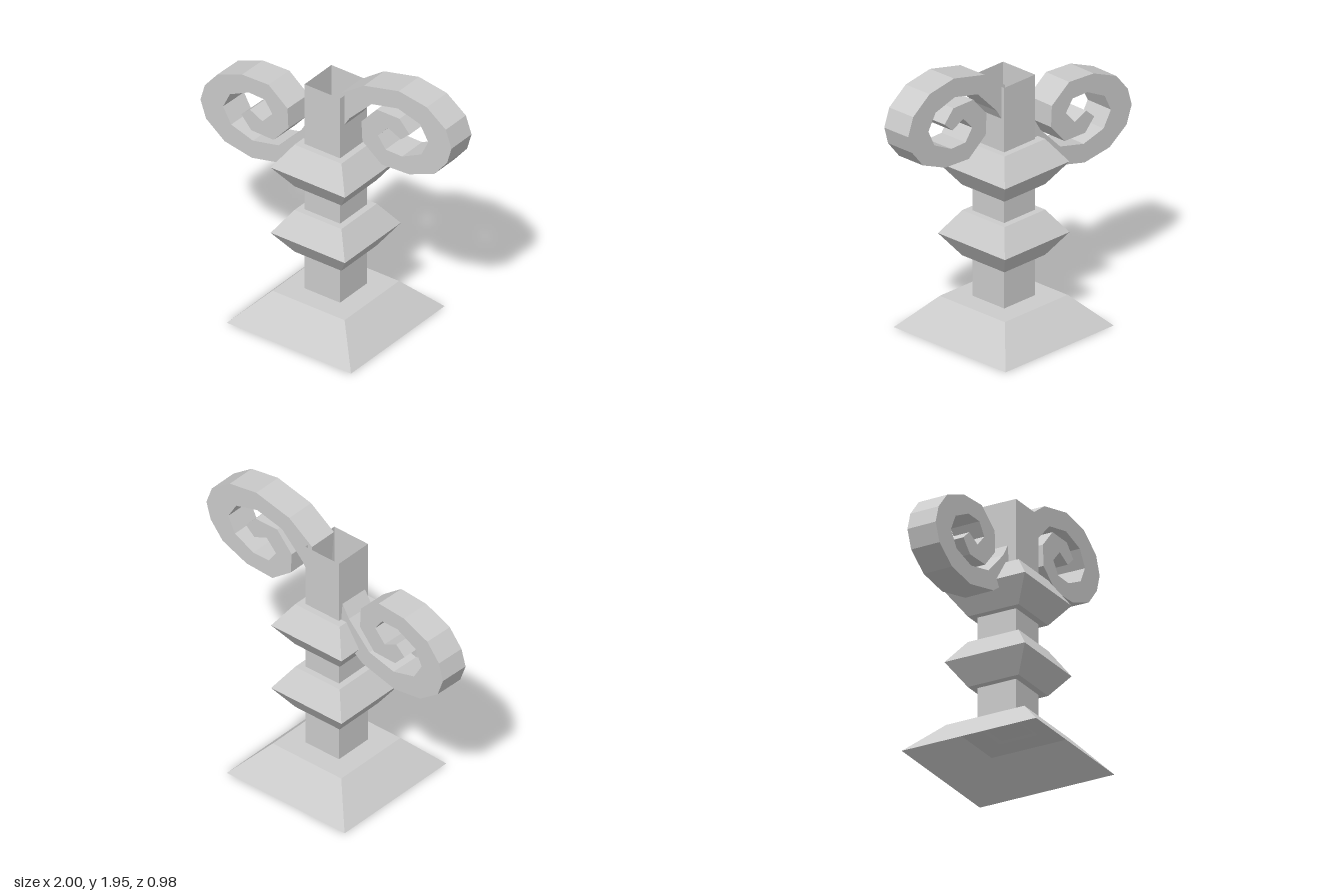
import * as THREE from 'three';

const material = new THREE.MeshStandardMaterial({
  color: 0xcccccc, flatShading: true, side: THREE.DoubleSide,
});

// Square solid from a profile of [half width, height], rising from the bottom
function squareTurned(name, profile) {
  const points = profile.map(([half, y]) => new THREE.Vector2(half * Math.SQRT2, y));
  const mesh = new THREE.Mesh(new THREE.LatheGeometry(points, 4, Math.PI / 4), material);
  mesh.name = name;
  return mesh;
}

// Outline of one scroll: along the outer edge to the curled tip, then back inside
const SCROLL_CENTRE = 1.463;
const scrollOutline = [
  [0.12, 1.745], [0.31, 1.88], [0.585, 1.945], [0.805, 1.91], [0.955, 1.8],
  [1.0, 1.675], [0.965, 1.555], [0.865, 1.435], [0.665, 1.353], [0.45, 1.343],
  [0.297, 1.46], [0.29, 1.605], [0.41, 1.74], [0.59, 1.74], [0.67, 1.653],
  [0.6, 1.59], [0.5, 1.637], [0.42, 1.55], [0.48, 1.467], [0.61, 1.465],
  [0.762, 1.54], [0.817, 1.653], [0.752, 1.763], [0.577, 1.813], [0.37, 1.765],
  [0.195, 1.59], [0.14, 1.5],
];

function scroll(name) {
  const shape = new THREE.Shape(
    scrollOutline.map(([x, y]) => new THREE.Vector2(x, y - SCROLL_CENTRE)));
  const depth = 0.21;
  const geometry = new THREE.ExtrudeGeometry(shape, { depth, bevelEnabled: false });
  geometry.translate(0, 0, -depth / 2);
  const mesh = new THREE.Mesh(geometry, material);
  mesh.name = name;
  mesh.position.set(0, SCROLL_CENTRE, -0.01);
  return mesh;
}

export function createModel() {
  const model = new THREE.Group();
  model.name = 'scrolledPost';

  const post = new THREE.Group();
  post.name = 'post';
  post.position.x = 0.015;
  model.add(post);

  // Hollow sloping base with a small recessed plate under the column
  post.add(squareTurned('base',
    [[0.49, 0], [0.285, 0.215], [0.14, 0.215], [0.115, 0.225], [0, 0.225]]));

  // Column, open at the top
  post.add(squareTurned('column', [[0.14, 0.215], [0.14, 1.745]]));

  // Two flared collars
  [['lowerCollar', 0.495], ['upperCollar', 0.985]].forEach(([name, y]) => {
    const collar = squareTurned(name,
      [[0.14, 0], [0.185, 0], [0.293, 0.155], [0.185, 0.313], [0.14, 0.313]]);
    collar.position.y = y;
    post.add(collar);
  });

  // Upper scroll on the left, the same scroll turned over on the right
  model.add(scroll('leftScroll'));
  const rightScroll = scroll('rightScroll');
  rightScroll.rotation.set(0, -0.03, Math.PI);
  model.add(rightScroll);

  return model;
}
